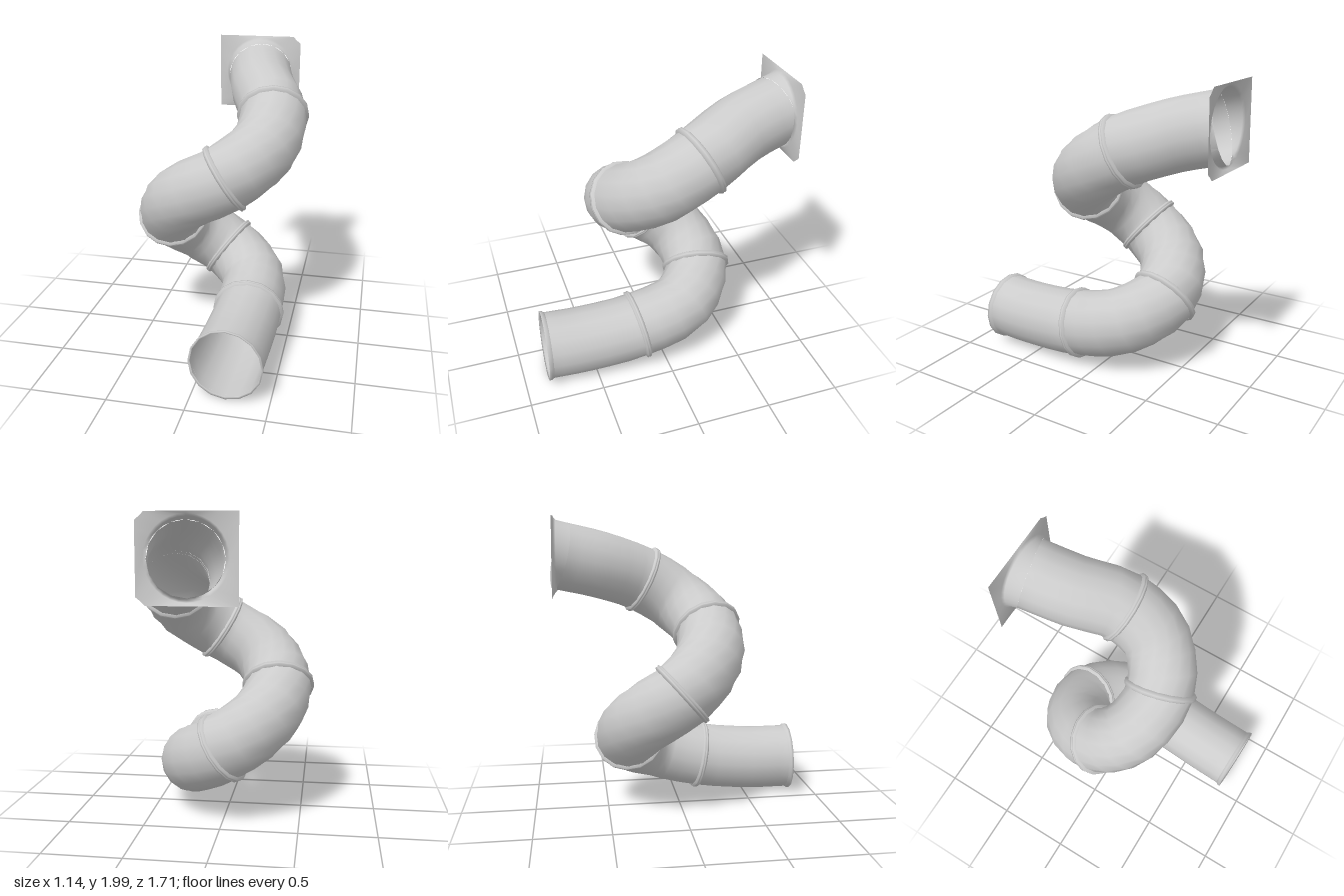
import * as THREE from 'three';

const SIDES = 16;
const RADIUS = 0.226;

// Centre line, from the low exit up to the entrance; every second point is a joint
const path = new THREE.CatmullRomCurve3([
  [0.218, 0.247, 0.83], [0.231, 0.245, 0.55], [0.245, 0.28, 0.175],
  [0.215, 0.375, -0.17], [0, 0.51, -0.35], [-0.25, 0.69, -0.27],
  [-0.335, 0.87, -0.03], [-0.215, 1.06, 0.16], [0.08, 1.23, 0.2],
  [0.3, 1.4, 0.035], [0.325, 1.56, -0.22], [0.21, 1.67, -0.52],
  [0.145, 1.735, -0.79],
].map(p => new THREE.Vector3(...p)));
const LAST = path.points.length - 1;

const material = new THREE.MeshStandardMaterial({ color: 0xcccccc, side: THREE.DoubleSide });

// Skin over a list of closed rings with equal point counts
function loft(rings) {
  const n = rings[0].length, index = [];
  for (let i = 0; i < rings.length - 1; i++) {
    for (let j = 0; j < n; j++) {
      const a = i * n + j, b = i * n + (j + 1) % n;
      index.push(a, b, a + n, b, b + n, a + n);
    }
  }
  const geometry = new THREE.BufferGeometry().setFromPoints(rings.flat());
  geometry.setIndex(index);
  geometry.computeVertexNormals();
  return geometry;
}

// Circle across the path at point number k, shifted along it by offset
function pathRing(k, radius, offset = 0, sides = SIDES) {
  const center = path.getPoint(k / LAST);
  const dir = path.getTangent(k / LAST);
  const right = new THREE.Vector3().crossVectors(dir, new THREE.Vector3(0, 1, 0)).normalize();
  const up = new THREE.Vector3().crossVectors(right, dir);
  center.addScaledVector(dir, offset);
  return Array.from({ length: sides }, (_, j) => {
    const a = j / sides * Math.PI * 2;
    return center.clone()
      .addScaledVector(right, Math.cos(a) * radius)
      .addScaledVector(up, Math.sin(a) * radius);
  });
}

// Square mounting outline, with the two +x corners cut off
function squareRing(cx, cy, halfW, halfH, sides) {
  return Array.from({ length: sides }, (_, j) => {
    const a = j / sides * Math.PI * 2;
    const c = Math.cos(a), s = Math.sin(a), m = Math.max(Math.abs(c), Math.abs(s));
    const spread = v => Math.sign(v) * Math.sqrt(Math.abs(v) / m);
    let x = halfW * spread(c), y = halfH * spread(s);
    if (c > 0 && Math.abs(Math.abs(c) - Math.abs(s)) < 1e-6) {
      x -= 0.027;
      y -= Math.sign(s) * 0.027;
    }
    return new THREE.Vector3(cx + x, cy + y, -0.838 + 0.015 * y);
  });
}

export function createModel() {
  const group = new THREE.Group();
  const add = (name, geometry) => {
    const mesh = new THREE.Mesh(geometry, material);
    mesh.name = name;
    group.add(mesh);
  };

  // Tube sections between joints
  const STEPS = 6;
  for (let k = 0; k < LAST; k += 2) {
    const rings = [];
    for (let i = 0; i <= STEPS; i++) rings.push(pathRing(k + 2 * i / STEPS, RADIUS));
    add('tubeSection' + (k / 2 + 1), loft(rings));
  }

  // Raised double-lip collars covering the joints
  const collar = [[-0.022, 0.224], [-0.013, 0.243], [-0.003, 0.243], [0, 0.237],
    [0.003, 0.243], [0.013, 0.243], [0.022, 0.224]];
  for (let k = 2; k < LAST; k += 2) {
    add('jointCollar' + k / 2, loft(collar.map(([d, r]) => pathRing(k, r, d))));
  }

  // Flared lip at the exit
  add('exitLip', loft([[-0.002, 0.226], [-0.008, 0.238], [0.008, 0.238], [0.024, 0.226]]
    .map(([d, r]) => pathRing(0, r, d))));

  // Entrance flange: the round tube flares into a square plate
  const sides = 32;
  const circle = (r, z) => Array.from({ length: sides }, (_, j) => {
    const a = j / sides * Math.PI * 2;
    return new THREE.Vector3(0.138 + Math.cos(a) * r, 1.738 + Math.sin(a) * r, z);
  });
  add('entranceFlange', loft([
    pathRing(LAST, RADIUS, 0, sides),
    circle(0.235, -0.812),
    circle(0.25, -0.826),
    squareRing(0.133, 1.735, 0.297, 0.265, sides),
  ]));

  return group;
}
